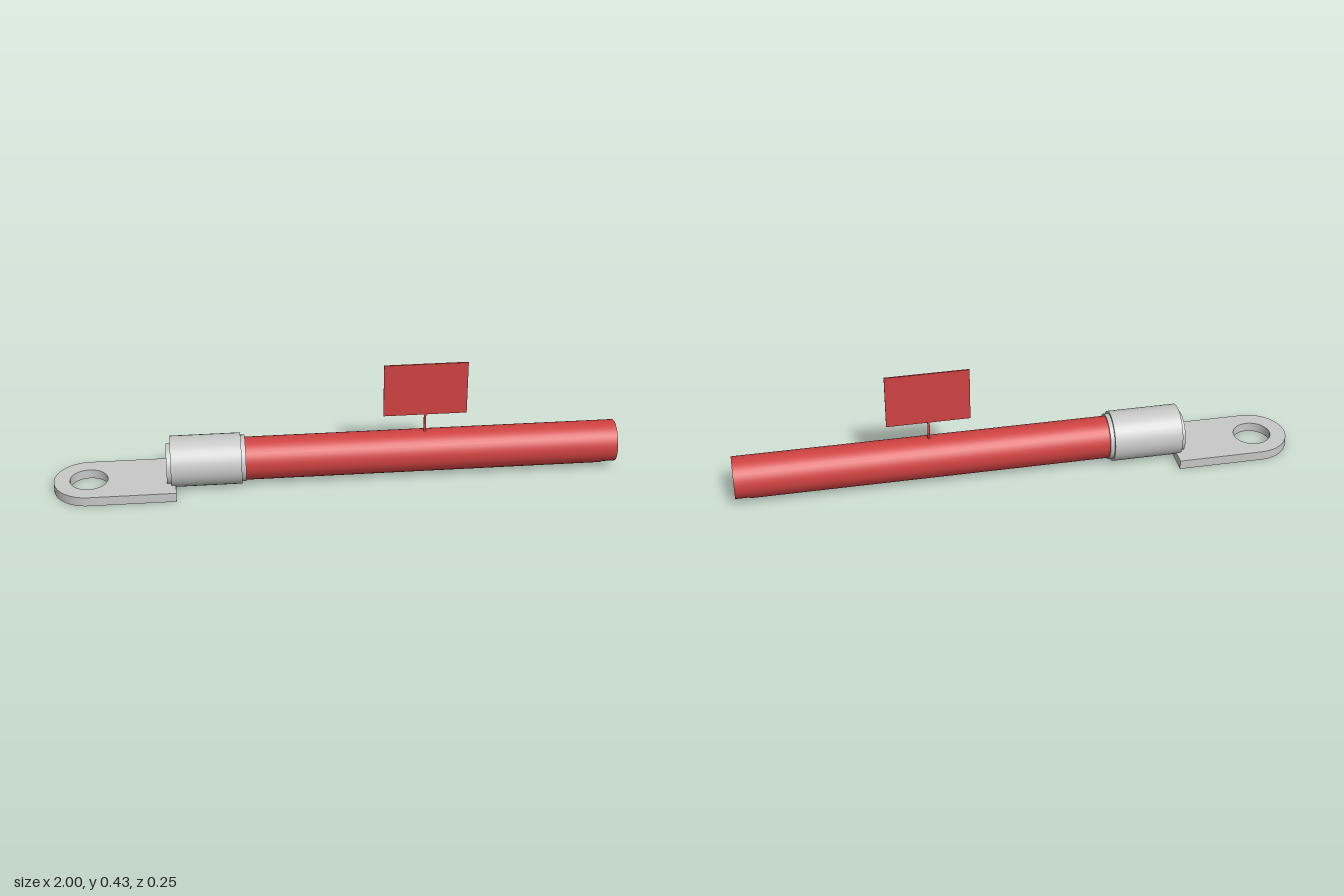
import * as THREE from 'three';

export function createModel() {
  const group = new THREE.Group();
  const metal = new THREE.MeshStandardMaterial({ color: 0xc8c8c8 });
  metal.name = 'tinned metal';
  const red = new THREE.MeshStandardMaterial({ color: 0xd04242 });
  red.name = 'red insulation';

  const add = (name, geometry, material, x = 0, y = 0, z = 0) => {
    const mesh = new THREE.Mesh(geometry, material);
    mesh.name = name;
    mesh.position.set(x, y, z);
    group.add(mesh);
    return mesh;
  };

  // cylinder lying along x, from x0 to x1
  const rod = (name, x0, x1, radius, y, material) => {
    const geometry = new THREE.CylinderGeometry(radius, radius, x1 - x0, 36);
    geometry.rotateZ(-Math.PI / 2);
    return add(name, geometry, material, (x0 + x1) / 2, y, 0);
  };

  // flat lug tongue with a rounded end and a bolt hole
  const half = 0.123, endX = -0.877, rootX = -0.572, thickness = 0.034;
  const outline = new THREE.Shape();
  outline.moveTo(rootX, -half);
  outline.lineTo(rootX, half);
  outline.lineTo(endX, half);
  outline.absarc(endX, 0, half, Math.PI / 2, Math.PI * 1.5, false);
  outline.closePath();
  const hole = new THREE.Path();
  hole.absarc(endX, 0, 0.067, 0, Math.PI * 2, true);
  outline.holes.push(hole);
  const tongue = new THREE.ExtrudeGeometry(outline, { depth: thickness, bevelEnabled: false, curveSegments: 24 });
  tongue.rotateX(-Math.PI / 2);
  add('lugTongue', tongue, metal);

  // crimp barrel, with a stub at the tongue end and a collar at the cable end
  const axisY = 0.092;
  rod('crimpBarrel', -0.588, -0.34, 0.0905, axisY, metal);
  rod('barrelCollar', -0.34, -0.325, 0.082, axisY, metal);
  rod('barrelStub', -0.603, -0.588, 0.072, 0.082, metal);

  // cable, with its inner core sitting slightly low
  rod('cable', -0.33, 1, 0.0745, axisY, red);
  rod('cableCore', -0.33, 0.95, 0.07, 0.083, red);

  // marker tag on a thin post
  add('tagPost', new THREE.BoxGeometry(0.008, 0.085, 0.005), red, 0.313, 0.198, 0);
  add('markerTag', new THREE.BoxGeometry(0.296, 0.198, 0.005), red, 0.313, 0.333, 0);

  return group;
}
